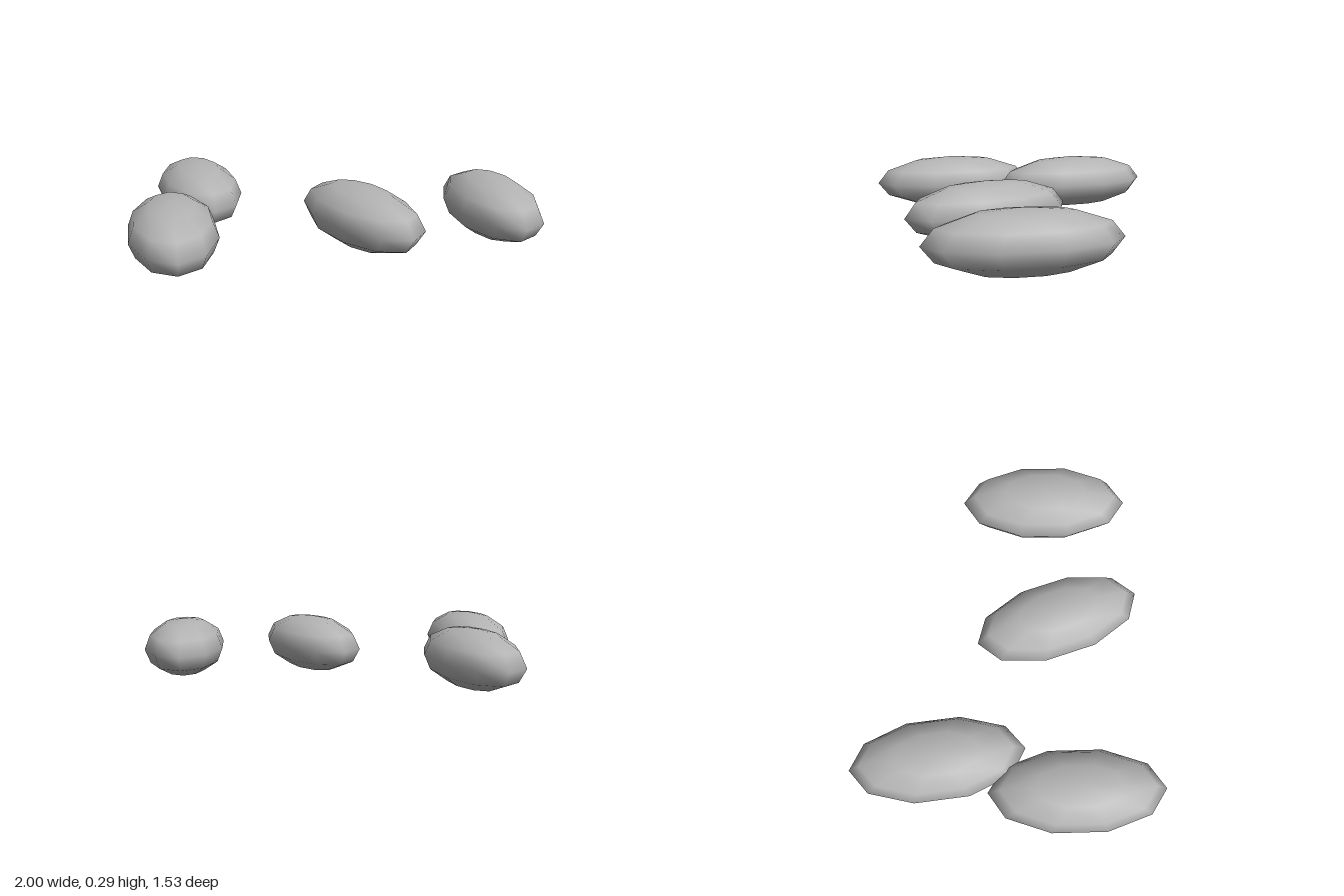
import * as THREE from 'three';

export function createModel() {
  const group = new THREE.Group();
  const grey = new THREE.MeshStandardMaterial({ color: 0xb4b4b4 });
  grey.name = 'grey';

  // One flattened, elongated pebble with its tips on the z axis
  const pebble = new THREE.SphereGeometry(1, 10, 6);
  pebble.rotateY(Math.PI / 2);
  pebble.scale(0.209, 0.145, 0.435);

  // name, x, z, turn about the vertical
  const placements = [
    ['backPebble', -0.583, -0.333, 0.046],
    ['rightPebble', -0.793, 0.332, -0.0575],
    ['middlePebble', 0.106, 0.332, 0.245],
    ['leftPebble', 0.788, 0.332, -0.08],
  ];
  for (const [name, x, z, turn] of placements) {
    const mesh = new THREE.Mesh(pebble, grey);
    mesh.name = name;
    mesh.position.set(x, 0.145, z);
    mesh.rotation.y = turn;
    group.add(mesh);
  }
  return group;
}
